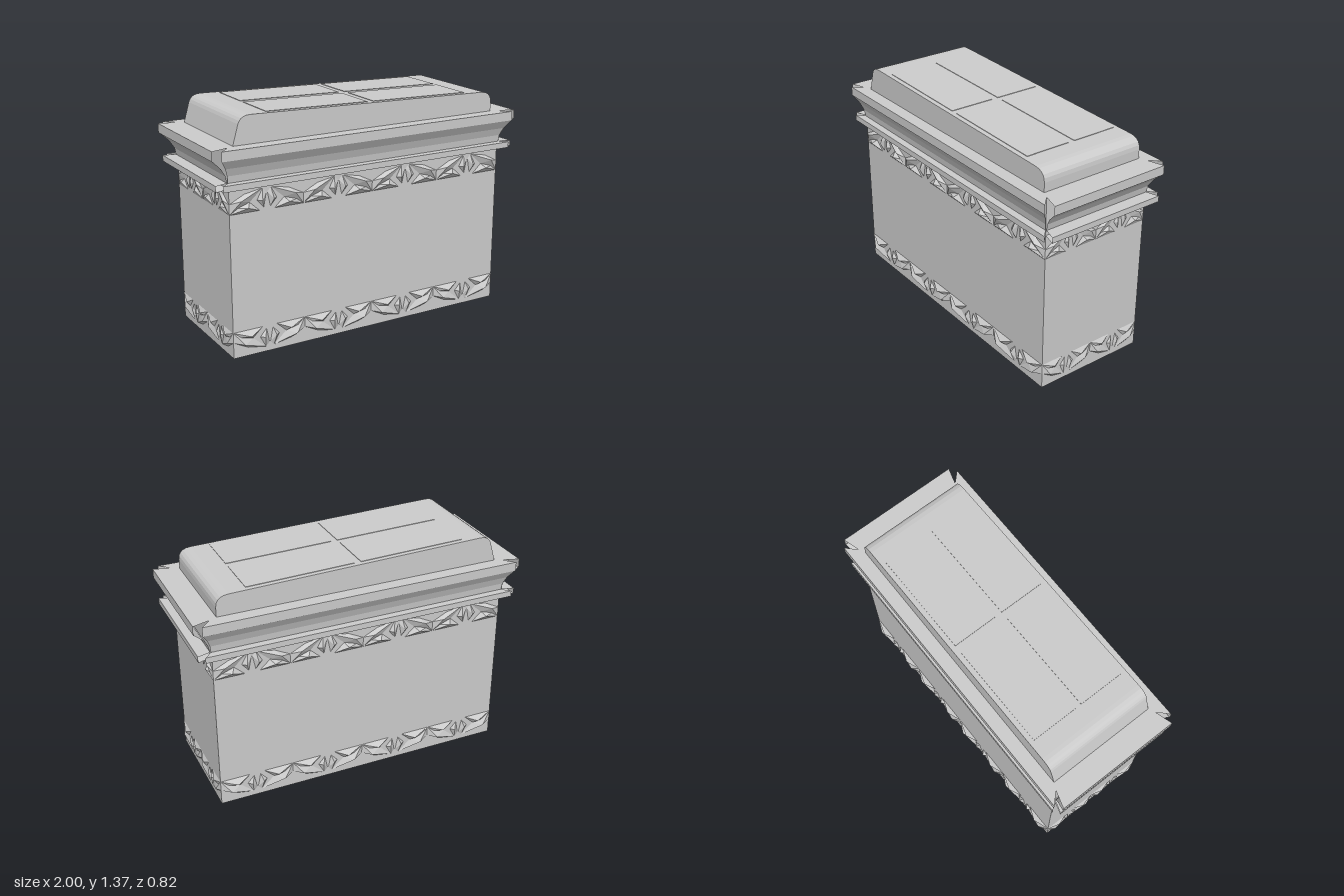
import * as THREE from 'three';

const HX = 0.9, HZ = 0.35, TOP = 1.21;
const grey = new THREE.MeshStandardMaterial({ color: 0xcccccc, flatShading: true, side: THREE.DoubleSide });

function addMesh(parent, name, geometry) {
  const mesh = new THREE.Mesh(geometry, grey);
  mesh.name = name;
  parent.add(mesh);
  return mesh;
}

// Geometry from triangles, each wound so that it faces the outward direction of its wall
function fromTriangles(triangles, outward) {
  const pos = [];
  for (const [a, b, c] of triangles) {
    const n = b.clone().sub(a).cross(c.clone().sub(a));
    const order = outward(n) >= 0 ? [a, b, c] : [a, c, b];
    order.forEach(p => pos.push(p.x, p.y, p.z));
  }
  const g = new THREE.BufferGeometry();
  g.setAttribute('position', new THREE.Float32BufferAttribute(pos, 3));
  g.computeVertexNormals();
  return g;
}

// Moulding profile: distance out from the wall, height
const moulding = [
  [0, 0.985], [0.05, 0.985], [0.05, 1.02], [0.005, 1.02], [0.01, 1.06],
  [0.027, 1.105], [0.058, 1.155], [0.06, 1.155], [0.06, TOP], [-0.03, TOP],
];

// Strip along +z wall: half length grows with the profile to form the mitre
function mouldingStrip(half, wall, outScale, mitre) {
  const pos = [], index = [];
  for (const [d, y] of moulding) {
    const z = wall + d * outScale, x = half + d * mitre;
    pos.push(-x, y, z, x, y, z);
  }
  for (let i = 0; i < moulding.length - 1; i++) {
    const a = i * 2;
    index.push(a, a + 1, a + 3, a, a + 3, a + 2);
  }
  const g = new THREE.BufferGeometry();
  g.setAttribute('position', new THREE.Float32BufferAttribute(pos, 3));
  g.setIndex(index);
  const flat = g.toNonIndexed();
  flat.computeVertexNormals();
  return flat;
}

// Carved leaves of half a motif: base outline (u, v) and a raised tip (u, v, height)
const leaves = [
  { base: [[0, 0], [0.18, 0], [0.12, 0.055], [0.03, 0.035]], tip: [0.1, 0.032, 0.03] },
  { base: [[0, 0], [0.12, 0.055], [0.2, 0.125], [0.09, 0.105], [0, 0.06]], tip: [0.06, 0.075, 0.028] },
  { base: [[0.205, 0.015], [0.165, 0.06], [0.2, 0.125], [0.222, 0.1]], tip: [0.19, 0.06, 0.02] },
];

// Band of mirrored leaf motifs along a +z wall
function leafBand(half, wall, cells, y0, dirY, relief) {
  const width = 2 * half / cells, su = width / 0.45;
  const tris = [];
  for (let c = 0; c < cells; c++) {
    for (const side of [-1, 1]) {
      const centre = -half + (c + 0.5) * width;
      const point = ([u, v, h = 0]) => new THREE.Vector3(
        centre + side * (width / 2 - u * su), y0 + dirY * v, wall + 0.001 + h * relief);
      for (const { base, tip } of leaves) {
        base.forEach((p, i) => tris.push([point(p), point(base[(i + 1) % base.length]), point(tip)]));
      }
    }
  }
  return fromTriangles(tris, n => n.z);
}

export function createModel() {
  const model = new THREE.Group();
  model.name = 'stoneChest';

  // Plain rectangular chest
  const body = addMesh(model, 'chestBody', new THREE.BoxGeometry(HX * 2, TOP - 0.005, HZ * 2));
  body.position.y = (TOP - 0.005) / 2;

  // Mouldings and leaf bands on the four walls
  const walls = [
    { name: 'front', angle: 0, long: true }, { name: 'back', angle: Math.PI, long: true },
    { name: 'leftEnd', angle: Math.PI / 2 }, { name: 'rightEnd', angle: -Math.PI / 2 },
  ];
  for (const { name, angle, long } of walls) {
    const wall = new THREE.Group();
    wall.name = name + 'Decoration';
    wall.rotation.y = angle;
    const half = long ? HX : HZ, depth = long ? HZ : HX;
    addMesh(wall, name + 'Moulding', mouldingStrip(half, depth, long ? 1 : 1.67, long ? 1 : 0.5));
    addMesh(wall, name + 'UpperLeaves', leafBand(half, depth, long ? 4 : 2, 0.84, 1, long ? 1 : 0.6));
    addMesh(wall, name + 'LowerLeaves', leafBand(half, depth, long ? 4 : 2, 0.155, -1, long ? 1 : 0.6));
    model.add(wall);
  }

  // Lid with rounded shoulders, sloping down along its length
  const lidShape = new THREE.Shape();
  lidShape.moveTo(-0.86, TOP - 0.005);
  lidShape.lineTo(0.855, TOP - 0.005);
  lidShape.lineTo(0.855, 1.265);
  lidShape.quadraticCurveTo(0.855, 1.33, 0.78, 1.332);
  lidShape.lineTo(-0.75, 1.37);
  lidShape.quadraticCurveTo(-0.81, 1.372, -0.825, 1.325);
  lidShape.closePath();
  const lid = new THREE.ExtrudeGeometry(lidShape, { depth: 0.66, bevelEnabled: false, curveSegments: 5 });
  addMesh(model, 'lid', lid.translate(0, 0, -0.33));

  // Four thin panels leaving a cross on the sloping top
  const slope = Math.atan2(1.332 - 1.37, 1.53);
  const panels = new THREE.Group();
  panels.name = 'lidPanels';
  panels.position.set(0.015, 1.351, 0);
  panels.rotation.z = slope;
  for (const sx of [-1, 1]) for (const sz of [-1, 1]) {
    const panel = addMesh(panels, 'lidPanel', new THREE.BoxGeometry(0.64, 0.006, 0.28));
    panel.position.set(sx * 0.34, 0, sz * 0.16);
  }
  model.add(panels);

  return model;
}
